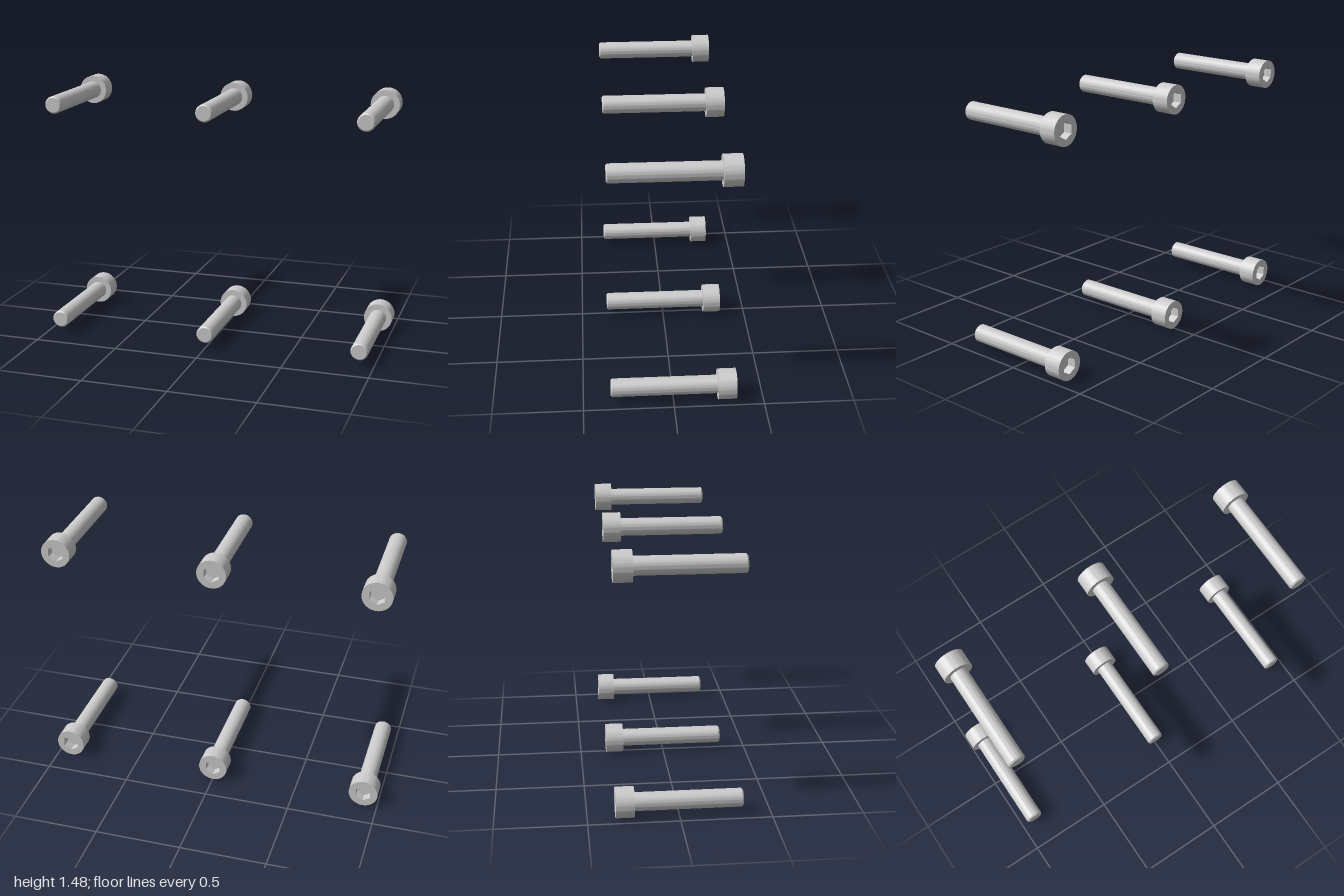
import * as THREE from 'three';
import { toCreasedNormals } from 'three/addons/utils/BufferGeometryUtils.js';

const HEAD_R = 0.085, HEAD_H = 0.102, SHANK_R = 0.051, HALF = 0.348;
const HEX_R = 0.049, SOCKET_DEPTH = 0.051, CHAMFER = 0.008;

// Hexagon with corners up and down
function hexPoints() {
  return Array.from({ length: 6 }, (_, i) => {
    const a = Math.PI / 6 + i * Math.PI / 3;
    return new THREE.Vector2(HEX_R * Math.cos(a), HEX_R * Math.sin(a));
  });
}

// Cylindrical head with a hexagonal opening
function headGeometry() {
  const shape = new THREE.Shape().absarc(0, 0, HEAD_R, 0, Math.PI * 2);
  shape.holes.push(new THREE.Path(hexPoints()));
  const g = new THREE.ExtrudeGeometry(shape, { depth: HEAD_H, bevelEnabled: false, curveSegments: 32 });
  return toCreasedNormals(g.translate(0, 0, -HALF), 0.5);
}

// Flat bottom of the socket, facing backwards
function floorGeometry() {
  return new THREE.ShapeGeometry(new THREE.Shape(hexPoints()))
    .rotateY(Math.PI)
    .translate(0, 0, -HALF + SOCKET_DEPTH);
}

// Straight shank with a chamfered tip, turned to point forwards
function shankGeometry() {
  const profile = [
    [SHANK_R, -HALF + HEAD_H],
    [SHANK_R, HALF - CHAMFER],
    [SHANK_R - CHAMFER, HALF],
    [0, HALF],
  ].map(([r, y]) => new THREE.Vector2(r, y));
  const g = new THREE.LatheGeometry(profile, 48).rotateX(Math.PI / 2);
  return toCreasedNormals(g, 0.5);
}

export function createModel() {
  const model = new THREE.Group();
  model.name = 'socketHeadBolts';
  const material = new THREE.MeshStandardMaterial({ color: 0xcccccc });
  const parts = { head: headGeometry(), socketFloor: floorGeometry(), shank: shankGeometry() };

  // Two rows of three bolts
  for (const [row, y] of [['lower', HEAD_R], ['upper', 1.395]]) {
    for (const [column, x] of [['Right', -0.915], ['Middle', 0], ['Left', 0.915]]) {
      const bolt = new THREE.Group();
      bolt.name = `${row}${column}Bolt`;
      for (const [name, geometry] of Object.entries(parts)) {
        const mesh = new THREE.Mesh(geometry, material);
        mesh.name = name;
        bolt.add(mesh);
      }
      bolt.position.set(x, y, 0);
      model.add(bolt);
    }
  }
  return model;
}
